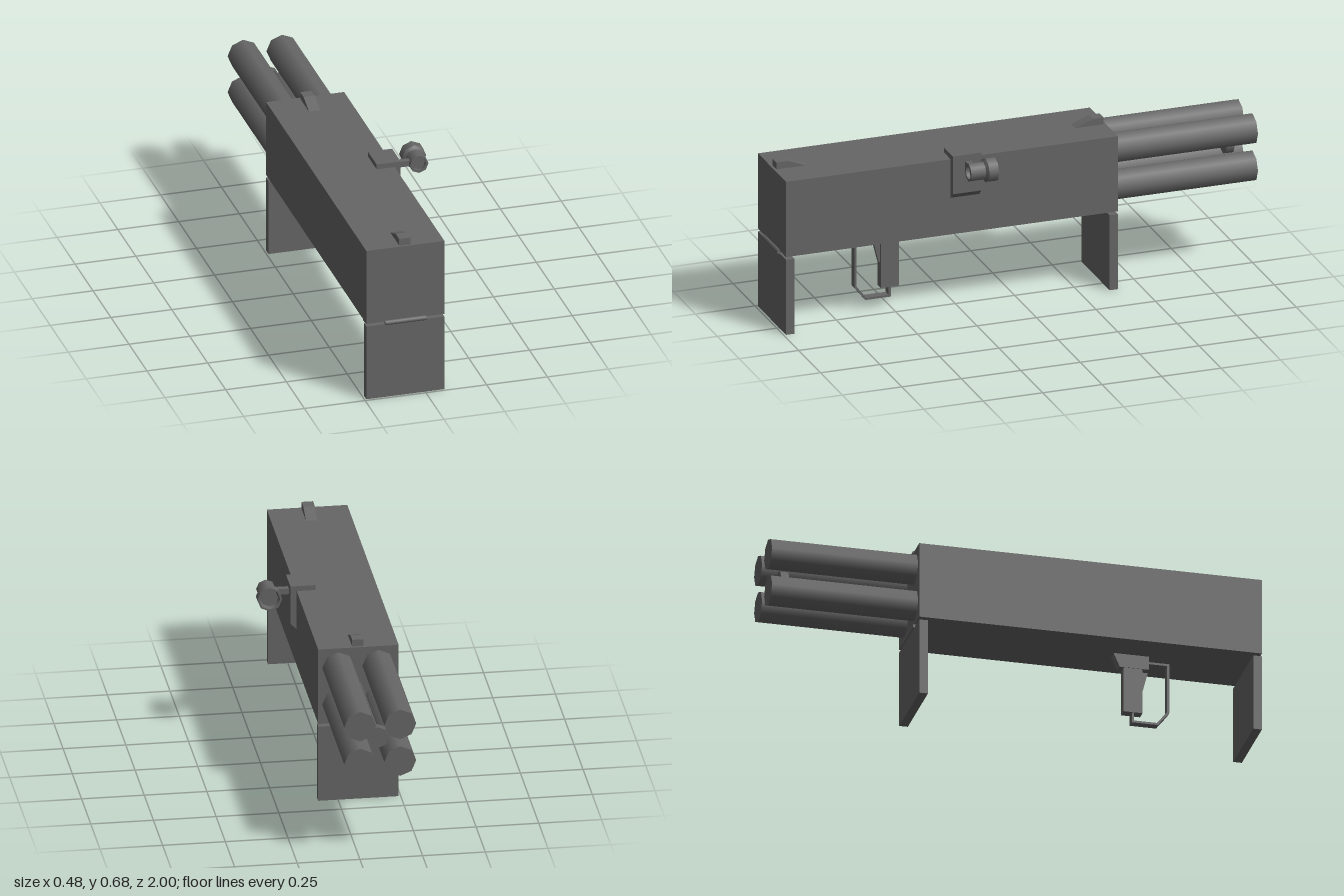
import * as THREE from 'three';
import { mergeGeometries } from 'three/addons/utils/BufferGeometryUtils.js';

const CX = -0.081; // centre line of the body

export function createModel() {
  const group = new THREE.Group();
  const smooth = new THREE.MeshStandardMaterial({ color: 0x666666 });
  const flat = new THREE.MeshStandardMaterial({ color: 0x666666, flatShading: true });

  const add = (name, geo, x = 0, y = 0, z = 0, material = flat) => {
    const mesh = new THREE.Mesh(geo, material);
    mesh.name = name;
    mesh.position.set(x, y, z);
    group.add(mesh);
    return mesh;
  };
  // box given by its limits
  const box = (name, x0, x1, y0, y1, z0, z1) =>
    add(name, new THREE.BoxGeometry(x1 - x0, y1 - y0, z1 - z0), (x0 + x1) / 2, (y0 + y1) / 2, (z0 + z1) / 2);
  // eight-sided cylinder lying along z
  const rodZ = (name, r, x, y, z0, z1) =>
    add(name, new THREE.CylinderGeometry(r, r, z1 - z0, 8).rotateX(Math.PI / 2), x, y, (z0 + z1) / 2, smooth);
  const shape = pts => new THREE.Shape(pts.map(([a, b]) => new THREE.Vector2(a, b)));
  // side profile in (z, y), extruded across x about the centre line
  const sideProfile = (name, pts, width) => {
    const geo = new THREE.ExtrudeGeometry(shape(pts), { depth: width, bevelEnabled: false });
    geo.translate(0, 0, -width / 2).rotateY(-Math.PI / 2);
    return add(name, geo, CX);
  };

  // Main housing
  box('housing', -0.242, 0.079, 0.331, 0.651, -0.405, 0.99);

  // Four tubes around a central rod with an end disc
  for (const x of [-0.161, -0.001])
    for (const y of [0.413, 0.571]) rodZ('tube', 0.0635, x, y, -1, -0.39);
  rodZ('centreRod', 0.013, CX, 0.492, -0.92, -0.4);
  rodZ('rodEndDisc', 0.045, CX, 0.492, -0.938, -0.905);

  // Hanging end covers with hinges
  box('frontCover', -0.242, 0.079, 0, 0.319, 0.955, 0.99);
  box('rearCover', -0.242, 0.079, 0, 0.319, -0.405, -0.37);
  for (const z of [0.99, -0.402])
    add('hinge', new THREE.CylinderGeometry(0.01, 0.01, 0.169, 8).rotateZ(Math.PI / 2), CX, 0.325, z, smooth);

  // Wedge catches on top
  sideProfile('frontCatch', [[0.855, 0.65], [0.98, 0.65], [0.98, 0.68], [0.93, 0.68]], 0.046);
  sideProfile('rearCatch', [[-0.395, 0.65], [-0.272, 0.65], [-0.35, 0.68], [-0.395, 0.68]], 0.046);

  // Grip, trigger and guard
  sideProfile('gripBracket', [[0.42, 0.335], [0.447, 0.274], [0.565, 0.274], [0.565, 0.335]], 0.044);
  box('grip', CX - 0.02, CX + 0.02, 0.083, 0.28, 0.463, 0.54);
  sideProfile('trigger', [[0.538, 0.19], [0.545, 0.19], [0.564, 0.265], [0.538, 0.265]], 0.018);
  sideProfile('triggerGuard', [
    [0.56, 0.31], [0.65, 0.31], [0.65, 0.098], [0.604, 0.04], [0.497, 0.04], [0.497, 0.088],
    [0.506, 0.088], [0.506, 0.049], [0.6, 0.049], [0.641, 0.102], [0.641, 0.301], [0.56, 0.301],
  ], 0.034);

  // Sight bracket wrapped over the top edge, with its arm
  const bracket = new THREE.ExtrudeGeometry(
    shape([[0.005, 0.65], [0.077, 0.65], [0.077, 0.485], [0.104, 0.511], [0.104, 0.672], [0.005, 0.672]]),
    { depth: 0.12, bevelEnabled: false });
  add('sightBracket', bracket, 0, 0, 0.178);
  box('sightArm', 0.1, 0.165, 0.62, 0.644, 0.223, 0.247);

  // Eight-sided sight, recessed at both ends; one ring per profile step keeps the rims sharp
  const profile = [
    [0, 0.17], [0.036, 0.17], [0.042, 0.153], [0.05, 0.153], [0.05, 0.193],
    [0.038, 0.203], [0.038, 0.265], [0.028, 0.265], [0.028, 0.25], [0, 0.25],
  ].map(([r, z]) => new THREE.Vector2(r, z));
  const rings = profile.slice(1).map((p, i) => new THREE.LatheGeometry([profile[i], p], 8));
  add('sight', mergeGeometries(rings).rotateX(Math.PI / 2), 0.19, 0.632, 0, smooth);

  return group;
}
